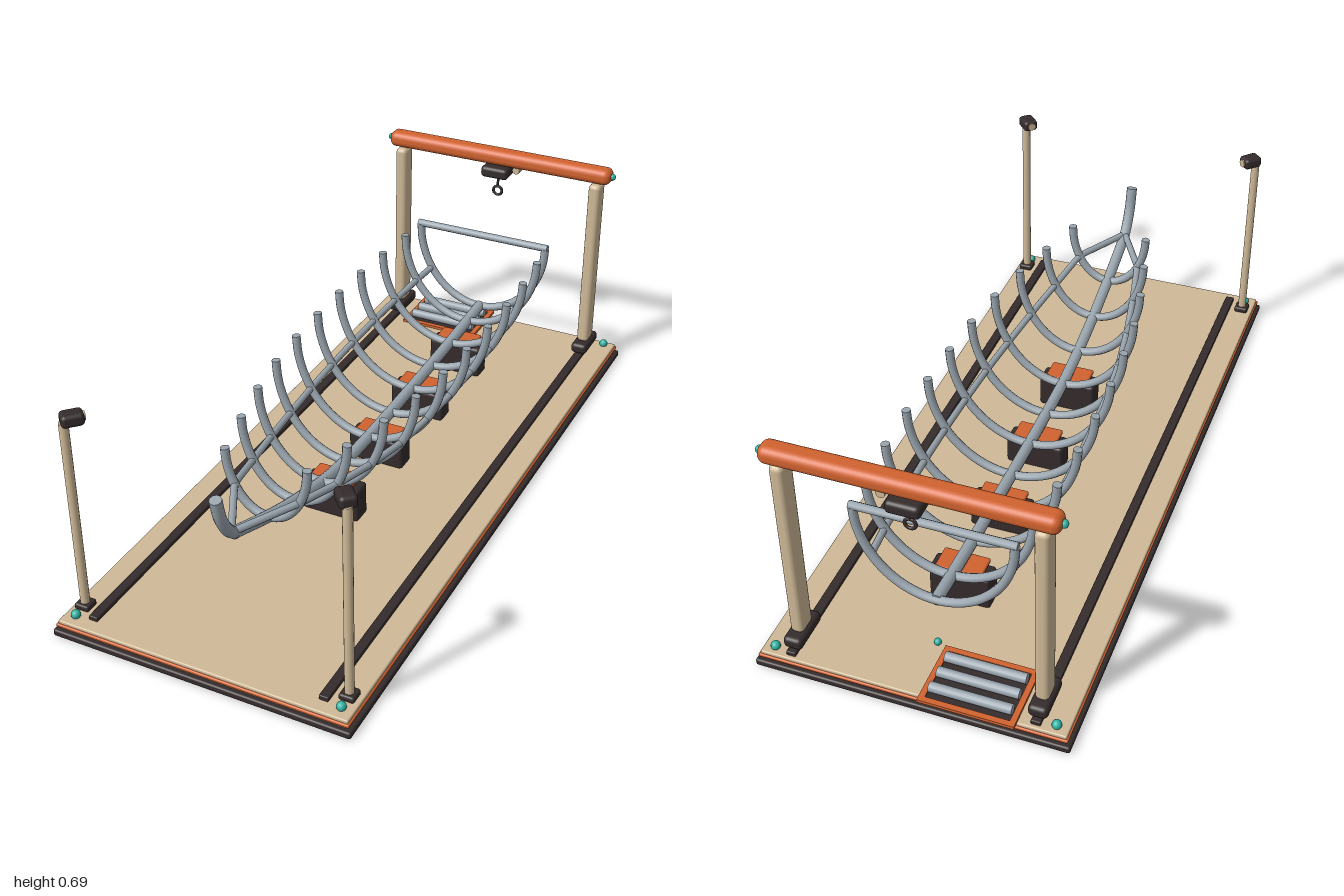
import * as THREE from 'three';
import { RoundedBoxGeometry } from 'three/addons/geometries/RoundedBoxGeometry.js';

const material = (name, color) => {
  const m = new THREE.MeshStandardMaterial({ color });
  m.name = name;
  return m;
};

export function createModel() {
  const model = new THREE.Group();
  model.name = 'shipyardDock';
  const tan = material('tan', 0xd0ba98);
  const dark = material('charcoal', 0x352c2c);
  const orange = material('orange', 0xd2632f);
  const steel = material('steel', 0x99a4ad);
  const teal = material('teal', 0x2fb5a6);

  const V = (x, y, z) => new THREE.Vector3(x, y, z);
  function add(name, geometry, mat, x = 0, y = 0, z = 0, parent = model) {
    const mesh = new THREE.Mesh(geometry, mat);
    mesh.name = name;
    mesh.position.set(x, y, z);
    parent.add(mesh);
    return mesh;
  }
  const box = (w, h, d, r) => new RoundedBoxGeometry(w, h, d, 3, r);
  const ball = r => new THREE.SphereGeometry(r, 16, 10);

  // Tube through points, with flat end caps
  function tube(name, points, r, parent, straight = false) {
    let path = new THREE.CatmullRomCurve3(points);
    let steps = points.length * 3;
    if (straight) {
      path = new THREE.CurvePath();
      for (let i = 1; i < points.length; i++) path.add(new THREE.LineCurve3(points[i - 1], points[i]));
      steps = (points.length - 1) * 4;
    }
    add(name, new THREE.TubeGeometry(path, steps, r, 10), steel, 0, 0, 0, parent);
    for (const u of [0, 1]) {
      const p = path.getPointAt(u);
      const cap = add(name + 'End', new THREE.CircleGeometry(r, 10), steel, p.x, p.y, p.z, parent);
      cap.quaternion.setFromUnitVectors(V(0, 0, 1), path.getTangentAt(u).multiplyScalar(u ? 1 : -1));
    }
  }

  // Layered base
  add('basePlinth', box(0.85, 0.02, 1.987, 0.006), dark, 0, 0.01, 0.0035);
  add('baseCore', box(0.82, 0.014, 1.96, 0.004), tan, 0, 0.025, 0.0035);
  add('baseTrim', box(0.835, 0.01, 1.975, 0.004), orange, 0, 0.033, 0.0035);
  add('deck', box(0.826, 0.014, 1.965, 0.004), tan, 0, 0.04, 0.0035);

  // Rails, rear gantry legs and front lamp poles, mirrored
  for (const s of [-1, 1]) {
    add('rail', box(0.026, 0.014, 1.92, 0.003), dark, s * 0.33, 0.054, -0.01);
    add('gantryFoot', box(0.052, 0.034, 0.12, 0.012), dark, s * 0.33, 0.077, -0.9);
    add('gantryLeg', box(0.038, 0.555, 0.06, 0.014), tan, s * 0.33, 0.367, -0.9);
    add('beamEndLight', ball(0.011), teal, s * 0.376, 0.67, -0.905);

    add('poleBase', box(0.042, 0.018, 0.042, 0.006), dark, s * 0.38, 0.056, 0.91);
    add('pole', new THREE.CylinderGeometry(0.0125, 0.0125, 0.55, 16), tan, s * 0.38, 0.335, 0.91);
    const lamp = new THREE.Group();
    lamp.name = 'lamp';
    lamp.position.set(s * 0.367, 0.617, 0.892);
    lamp.rotation.y = s * 0.75;
    model.add(lamp);
    add('lampHousing', box(0.045, 0.034, 0.058, 0.011), dark, 0, 0, 0, lamp);
    const lens = add('lampLens', new THREE.CylinderGeometry(0.012, 0.012, 0.006, 16), tan, 0, 0, -0.029, lamp);
    lens.rotation.x = Math.PI / 2;
    for (const z of [-0.955, 0.953]) add('cornerLight', ball(0.013), teal, s * 0.38, 0.054, z);
  }

  // Gantry beam and hoist
  add('gantryBeam', box(0.75, 0.05, 0.06, 0.021), orange, 0, 0.67, -0.905);
  add('hoistTrolley', box(0.09, 0.036, 0.09, 0.012), dark, 0, 0.626, -0.905);
  const motor = add('hoistWheel', new THREE.CylinderGeometry(0.012, 0.012, 0.03, 16), tan, 0.064, 0.637, -0.905);
  motor.rotation.x = Math.PI / 2;
  add('hoistCable', new THREE.CylinderGeometry(0.004, 0.004, 0.045, 10), dark, 0, 0.59, -0.905);
  add('hoistRing', new THREE.TorusGeometry(0.0145, 0.0045, 10, 24), dark, 0, 0.552, -0.905);

  // Keel and raked stem
  const hull = new THREE.Group();
  hull.name = 'hullFrame';
  model.add(hull);
  const keelPoints = [
    V(0, 0.188, -0.79), V(0, 0.176, -0.6), V(0, 0.166, -0.3), V(0, 0.162, 0),
    V(0, 0.168, 0.2), V(0, 0.201, 0.4), V(0, 0.257, 0.6), V(0, 0.325, 0.785),
  ];
  tube('keel', keelPoints, 0.017, hull);
  tube('stem', [V(0, 0.318, 0.775), V(0, 0.345, 0.805), V(0, 0.4, 0.838), V(0, 0.468, 0.855)], 0.0165, hull);
  function keelHeight(z) {
    let i = 1;
    while (i < keelPoints.length - 1 && keelPoints[i].z < z) i++;
    const a = keelPoints[i - 1], b = keelPoints[i];
    return THREE.MathUtils.lerp(a.y, b.y, (z - a.z) / (b.z - a.z));
  }

  // Half-elliptical ribs, from bow to stern
  const halfWidths = [0.118, 0.155, 0.188, 0.213, 0.228, 0.236, 0.24, 0.24, 0.235, 0.225, 0.214];
  const top = 0.44;
  const ribZ = i => (i === 10 ? -0.787 : 0.617 - i * 0.145);
  const ribPoint = (i, t) => V(
    halfWidths[i] * Math.sin(t),
    top - (top - keelHeight(ribZ(i))) * Math.cos(t),
    ribZ(i));
  halfWidths.forEach((w, i) => {
    const points = [];
    for (let k = -8; k <= 8; k++) points.push(ribPoint(i, k / 8 * Math.PI / 2));
    tube('rib', points, 0.0125, hull);
  });
  tube('transomBar', [V(-0.222, 0.443, -0.787), V(0.222, 0.443, -0.787)], 0.0115, hull, true);

  // Side stringers meet at the stem
  for (const s of [-1, 1]) {
    const points = [V(0, 0.332, 0.793)];
    halfWidths.forEach((w, i) => points.push(ribPoint(i, s * 0.94)));
    tube('stringer', points, 0.01, hull, true);
  }

  // Keel blocks with cradle pads
  for (const z of [0.248, -0.038, -0.325, -0.615]) {
    const y = keelHeight(z) - 0.017;
    add('keelBlock', box(0.17, y - 0.057, 0.064, 0.01), dark, 0, (y - 0.015 + 0.042) / 2, z);
    add('keelPad', box(0.13, 0.014, 0.076, 0.005), orange, 0, y - 0.005, z);
  }

  // Pipe tray at the rear corner
  const tray = new THREE.Group();
  tray.name = 'pipeTray';
  tray.position.set(-0.157, 0.051, -0.905);
  model.add(tray);
  add('trayFloor', new THREE.BoxGeometry(0.24, 0.004, 0.175), dark, 0, -0.002, 0, tray);
  for (const s of [-1, 1]) {
    add('traySide', new THREE.BoxGeometry(0.256, 0.009, 0.016), orange, 0, 0, s * 0.087, tray);
    add('trayEnd', new THREE.BoxGeometry(0.016, 0.009, 0.16), orange, s * 0.12, 0, 0, tray);
  }
  for (const z of [-0.052, 0, 0.052]) {
    const pipe = add('sparePipe', new THREE.CylinderGeometry(0.014, 0.014, 0.22, 16), steel, 0, 0.014, z, tray);
    pipe.rotation.z = Math.PI / 2;
  }
  add('deckLight', ball(0.01), teal, -0.005, 0.055, -0.805);

  return model;
}
